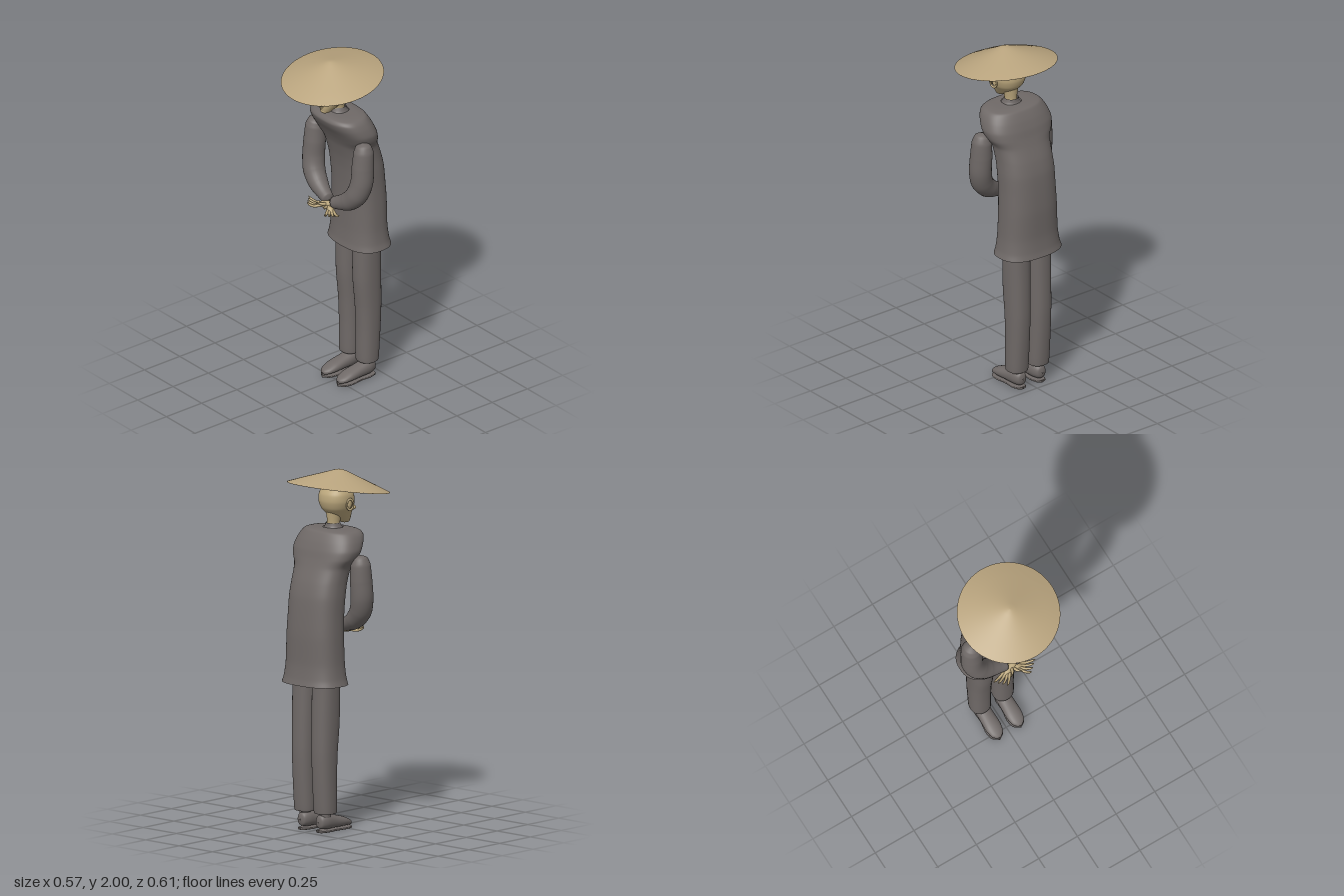
import * as THREE from 'three';
import { mergeVertices } from 'three/addons/utils/BufferGeometryUtils.js';

const mat = (name, color) => {
  const m = new THREE.MeshStandardMaterial({ color, side: THREE.DoubleSide });
  m.name = name;
  return m;
};
const V = (x, y, z) => new THREE.Vector3(x, y, z);

// Smooth upright loft through rings of [y, centreX, halfWidth, zFront, zBack]
function loft(rings, power = 2, steps = 6, sides = 40) {
  const spline = (f) => new THREE.CatmullRomCurve3(rings.map(f), false, 'catmullrom', 0.4);
  const a = spline(r => V(r[0], r[1], r[2])), b = spline(r => V(r[3], r[4], 0));
  const n = (rings.length - 1) * steps, pos = [], idx = [];
  const bulge = v => Math.sign(v) * Math.abs(v) ** (2 / power);
  for (let i = 0; i <= n; i++) {
    const p = a.getPoint(i / n), q = b.getPoint(i / n);
    const rx = Math.max(p.z, 0.0005), rz = Math.max((q.x - q.y) / 2, 0.0005);
    for (let j = 0; j < sides; j++) {
      const t = j / sides * Math.PI * 2;
      pos.push(p.y + rx * bulge(Math.sin(t)), p.x, (q.x + q.y) / 2 + rz * bulge(Math.cos(t)));
      if (i < n) {
        const k = i * sides, j2 = (j + 1) % sides;
        idx.push(k + j, k + j2, k + sides + j, k + j2, k + sides + j2, k + sides + j);
      }
    }
  }
  const g = new THREE.BufferGeometry();
  g.setAttribute('position', new THREE.Float32BufferAttribute(pos, 3));
  g.setIndex(idx);
  g.computeVertexNormals();
  return g;
}

// Tapered tube through points of [x, y, z, radius]
function limb(pts, segs = 36, sides = 20) {
  const path = new THREE.CatmullRomCurve3(pts.map(p => V(p[0], p[1], p[2])));
  const g = new THREE.TubeGeometry(path, segs, 1, sides, false);
  const pos = g.attributes.position, v = V(0, 0, 0);
  for (let i = 0; i < pos.count; i++) {
    const u = Math.floor(i / (sides + 1)) / segs;
    const t = path.getUtoTmapping(u) * (pts.length - 1);
    const k = Math.min(Math.floor(t), pts.length - 2);
    const r = THREE.MathUtils.lerp(pts[k][3], pts[k + 1][3], t - k);
    const c = path.getPointAt(u);
    v.fromBufferAttribute(pos, i).sub(c).multiplyScalar(r).add(c);
    pos.setXYZ(i, v.x, v.y, v.z);
  }
  g.deleteAttribute('uv');
  g.deleteAttribute('normal');
  const out = mergeVertices(g, 1e-5);
  out.computeVertexNormals();
  return out;
}

export function createModel() {
  const model = new THREE.Group();
  const cloth = mat('grey cloth', 0x6f6967);
  const skin = mat('skin', 0xb9a57b);
  const straw = mat('straw', 0xb9a47e);
  const add = (name, geo, material, parent = model) => {
    const m = new THREE.Mesh(geo, material);
    m.name = name;
    parent.add(m);
    return m;
  };
  const ball = (name, x, y, z, sx, sy, sz, parent) => {
    const m = add(name, new THREE.SphereGeometry(1, 20, 14), skin, parent);
    m.position.set(x, y, z);
    m.scale.set(sx, sy, sz);
    return m;
  };

  // Long coat, leaning forward at the shoulders, open at the hem
  add('coat', loft([
    [0.83, 0, 0.198, -0.03, -0.302], [0.87, 0, 0.186, -0.037, -0.293], [0.95, 0, 0.176, -0.043, -0.285],
    [1.1, 0, 0.17, -0.045, -0.284], [1.22, 0, 0.166, -0.04, -0.276], [1.32, 0, 0.166, -0.03, -0.265],
    [1.4, 0, 0.165, -0.015, -0.245], [1.48, 0, 0.172, 0.008, -0.215], [1.53, 0, 0.203, 0.03, -0.198],
    [1.575, 0, 0.214, 0.055, -0.185], [1.62, 0, 0.204, 0.083, -0.167], [1.655, 0, 0.187, 0.097, -0.148],
    [1.675, 0, 0.165, 0.085, -0.132], [1.683, 0, 0.12, 0.06, -0.1], [1.685, 0, 0.055, 0.03, -0.07],
  ], 2.5, 6, 56), cloth);
  add('collar', loft([
    [1.672, 0, 0.062, 0.04, -0.078], [1.69, 0, 0.048, 0.028, -0.065], [1.71, 0, 0.04, 0.018, -0.06],
  ]), cloth);

  // Head and neck
  const head = new THREE.Group();
  head.name = 'head';
  model.add(head);
  add('neck', loft([[1.66, 0, 0.036, 0.022, -0.054], [1.71, 0, 0.034, 0.022, -0.052],
    [1.78, 0, 0.045, 0.035, -0.06]]), skin, head);
  add('skull', loft([
    [1.695, 0, 0.002, 0.085, 0.075], [1.702, 0, 0.024, 0.1, 0.045], [1.73, 0, 0.044, 0.105, -0.005],
    [1.76, 0, 0.064, 0.103, -0.048], [1.79, 0, 0.084, 0.105, -0.076], [1.83, 0, 0.096, 0.106, -0.089],
    [1.87, 0, 0.094, 0.097, -0.085], [1.9, 0, 0.077, 0.073, -0.065], [1.922, 0, 0.042, 0.037, -0.033],
    [1.929, 0, 0.001, 0.004, -0.001],
  ], 2.2), skin, head);
  add('nose', loft([[1.762, 0, 0.002, 0.112, 0.1], [1.768, 0, 0.018, 0.126, 0.08],
    [1.78, 0, 0.015, 0.131, 0.08], [1.815, 0, 0.009, 0.113, 0.08], [1.83, 0, 0.002, 0.106, 0.08]]), skin, head);
  for (const y of [1.737, 1.746])
    add('lip', limb([[-0.024, y - 0.003, 0.09, 0.002], [0, y, 0.108, 0.006], [0.024, y - 0.003, 0.09, 0.002]], 14, 10), skin, head);
  ball('chin', 0, 1.713, 0.09, 0.02, 0.013, 0.016, head);

  for (const s of [1, -1]) {
    const side = s > 0 ? 'left' : 'right';
    // Face details
    ball(side + 'Eye', s * 0.037, 1.812, 0.092, 0.015, 0.009, 0.011, head);
    ball(side + 'Cheekbone', s * 0.052, 1.787, 0.078, 0.024, 0.014, 0.02, head);
    add(side + 'Brow', limb([[s * 0.012, 1.828, 0.106, 0.004], [s * 0.04, 1.837, 0.098, 0.008],
      [s * 0.075, 1.826, 0.068, 0.003]], 14, 10), skin, head);
    ball(side + 'EarInner', s * 0.093, 1.815, 0.01, 0.009, 0.026, 0.016, head);
    const rim = add(side + 'EarRim', new THREE.TorusGeometry(0.021, 0.005, 10, 24), skin, head);
    rim.position.set(s * 0.1, 1.817, 0.01);
    rim.rotation.y = Math.PI / 2 + s * 0.3;
    rim.scale.y = 1.4;

    // Sleeve, bent at the elbow towards the middle
    add(side + 'Sleeve', limb([
      [s * 0.203, 1.553, -0.026, 0.002], [s * 0.205, 1.54, -0.026, 0.04], [s * 0.21, 1.5, -0.025, 0.056],
      [s * 0.211, 1.41, -0.02, 0.062], [s * 0.21, 1.31, -0.012, 0.063], [s * 0.187, 1.235, 0.002, 0.062],
      [s * 0.135, 1.178, 0.014, 0.055], [s * 0.07, 1.145, 0.026, 0.041], [s * 0.02, 1.128, 0.034, 0.032],
      [s * 0.016, 1.127, 0.034, 0.002],
    ], 60, 28), cloth);

    // Hand resting across the other, fingers reaching forward
    const hand = new THREE.Group();
    hand.name = side + 'Hand';
    model.add(hand);
    const y0 = 1.1 + s * 0.006;
    add('palm', limb([[s * 0.04, y0 + 0.018, 0.036, 0.018], [s * 0.005, y0 + 0.008, 0.05, 0.02],
      [-s * 0.035, y0, 0.066, 0.02], [-s * 0.06, y0 - 0.002, 0.078, 0.004]], 18, 14), skin, hand);
    for (let k = 0; k < 4; k++) {
      add('finger', limb([
        [-s * (0.045 - k * 0.006), y0, 0.058 + k * 0.007, 0.009],
        [-s * (0.088 - k * 0.012), y0 - 0.006, 0.072 + k * 0.014, 0.0075],
        [-s * (0.118 - k * 0.016), y0 + 0.004, 0.082 + k * 0.017, 0.0065],
        [-s * (0.134 - k * 0.018), y0 + 0.014, 0.086 + k * 0.018, 0.002],
      ], 14, 10), skin, hand);
    }
    add('thumb', limb([[-s * 0.005, y0 + 0.01, 0.06, 0.01], [-s * 0.015, y0 + 0.015, 0.09, 0.008],
      [-s * 0.035, y0 + 0.022, 0.112, 0.002]], 12, 10), skin, hand);

    // Trouser leg
    const x = s * 0.073;
    add(side + 'TrouserLeg', loft([
      [0.118, x, 0.002, -0.16, -0.164], [0.108, x, 0.052, -0.11, -0.214], [0.125, x, 0.061, -0.1, -0.224],
      [0.3, x, 0.063, -0.1, -0.236], [0.45, x, 0.065, -0.094, -0.242], [0.62, x, 0.068, -0.079, -0.24],
      [0.83, x, 0.071, -0.078, -0.235], [0.93, x, 0.072, -0.08, -0.235], [0.94, x, 0.002, -0.155, -0.159],
    ], 2.3, 6, 32), cloth);

    // Ankle and shoe, lofted from heel to toe
    const ankle = add(side + 'Ankle', new THREE.CylinderGeometry(0.032, 0.032, 0.08, 20), cloth);
    ankle.position.set(x, 0.11, -0.165);
    const fx = s * 0.068;
    add(side + 'Shoe', loft([
      [-0.212, fx, 0.002, -0.055, -0.062], [-0.203, fx, 0.028, -0.025, -0.092], [-0.165, fx, 0.042, -0.016, -0.106],
      [-0.1, fx, 0.044, -0.016, -0.09], [-0.03, fx, 0.046, -0.016, -0.072], [0.015, fx, 0.037, -0.016, -0.053],
      [0.036, fx, 0.018, -0.018, -0.04], [0.042, fx, 0.002, -0.025, -0.03],
    ], 2.2, 5, 28).rotateX(Math.PI / 2), cloth);
    add(side + 'Sole', loft([
      [-0.212, fx, 0.002, 0, -0.014], [-0.204, fx, 0.026, 0, -0.014], [-0.16, fx, 0.04, 0, -0.014],
      [-0.1, fx, 0.038, 0, -0.014], [-0.03, fx, 0.047, 0, -0.014], [0.02, fx, 0.036, 0, -0.014],
      [0.044, fx, 0.002, 0, -0.014],
    ], 4, 5, 28).rotateX(Math.PI / 2), cloth);
  }

  // Wide conical hat, tilted forward
  const profile = [[0, 0.101], [0.012, 0.1], [0.035, 0.094], [0.1, 0.07], [0.2, 0.034], [0.286, 0.001],
    [0.285, -0.002], [0.2, 0.028], [0.1, 0.063], [0.0, 0.094]];
  const hat = add('hat', new THREE.LatheGeometry(profile.map(p => new THREE.Vector2(...p)).reverse(), 72), straw);
  hat.position.set(0, 1.9, 0.025);
  hat.rotation.x = 0.16;
  return model;
}
